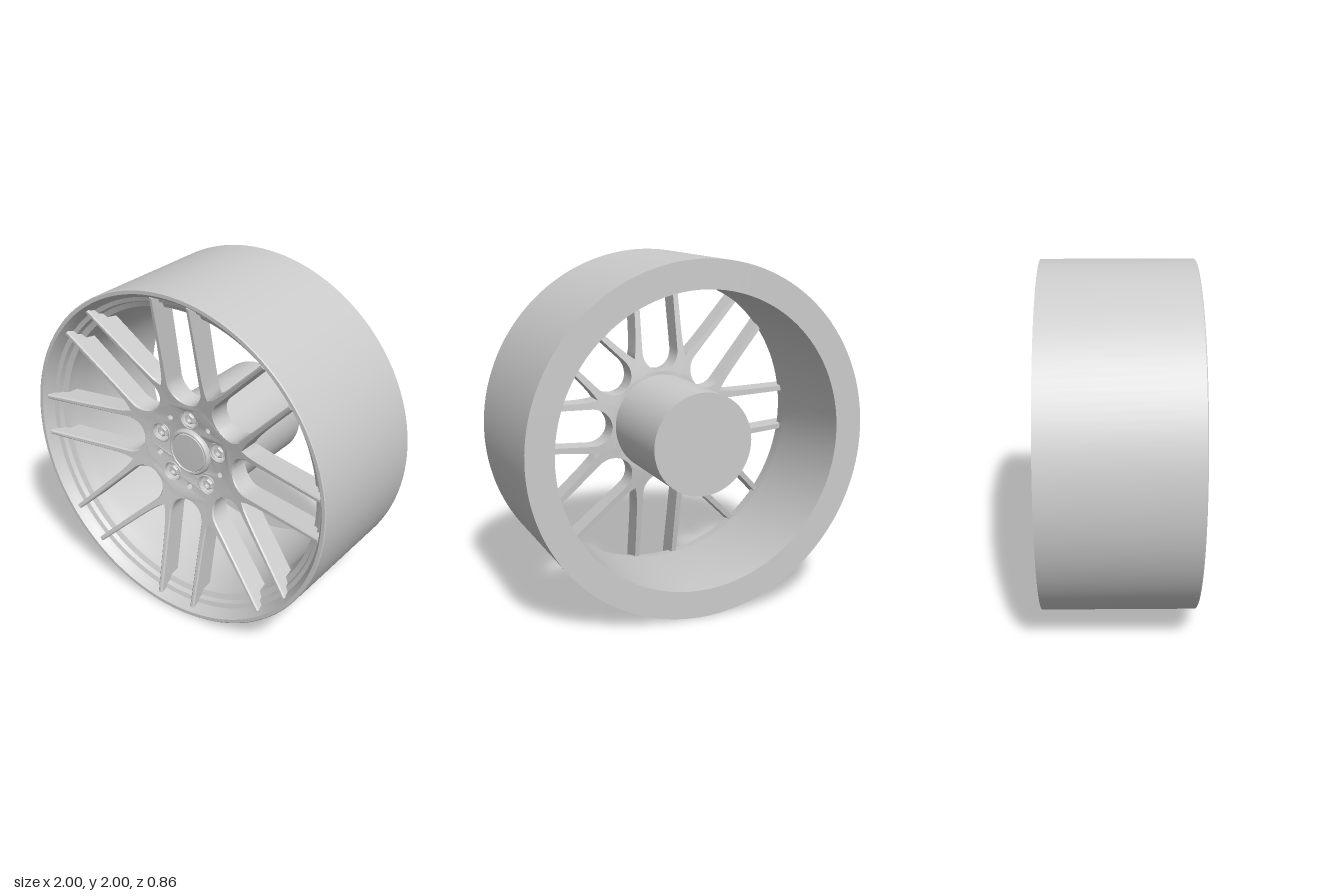
import * as THREE from 'three';
import { toCreasedNormals } from 'three/addons/utils/BufferGeometryUtils.js';

const mat = new THREE.MeshStandardMaterial({ color: 0xcccccc });
const V = (x, y) => new THREE.Vector2(x, y);
const lerp = THREE.MathUtils.lerp;

// Depth of the dished front face and of the back face at a given radius
const frontZ = r => 0.24 + 0.17 * Math.max(0, (r - 0.13) / 0.82);
const backZ = r => 0.15 + 0.12 * Math.max(0, (r - 0.3) / 0.65);

function add(parent, geo, name) {
  const mesh = new THREE.Mesh(geo, mat);
  mesh.name = name;
  parent.add(mesh);
  return mesh;
}

// Turned part about the z axis; profile is a list of [radius, z]
function turned(profile, segments) {
  const geo = new THREE.LatheGeometry(profile.map(p => V(p[0], p[1])), segments);
  geo.rotateX(Math.PI / 2);
  return toCreasedNormals(geo, 0.5);
}

// Half of one window surround: hub web flowing into a single thin spoke
function spokeGeometry(side) {
  const stations = [];
  const ray = Math.PI / 8;
  const webSteps = 10, spokeSteps = 14;
  for (let i = 0; i <= webSteps; i++) {
    const t = i / webSteps, a = t * Math.PI / 2;
    const r = lerp(0.295, 0.42, t);
    stations.push({
      a: V(0.111 * Math.sin(a), 0.425 - 0.115 * Math.cos(a)),
      b: V(r * Math.sin(ray), r * Math.cos(ray)),
      bevelA: 0.008, bevelB: 0
    });
  }
  for (let i = 1; i <= spokeSteps; i++) {
    const t = i / spokeSteps;
    stations.push({
      a: V(lerp(0.111, 0.106, t), lerp(0.425, 0.945, t)),
      b: V(0.135 + 0.012 * (1 - t) + 0.0138 * Math.pow(1 - t, 8), lerp(0.388, 0.945, t)),
      bevelA: 0.008, bevelB: 0.008
    });
  }
  const pos = [], index = [], n = 6;
  for (const { a, b, bevelA, bevelB } of stations) {
    const dir = b.clone().sub(a).normalize();
    const a2 = a.clone().addScaledVector(dir, bevelA);
    const b2 = b.clone().addScaledVector(dir, -bevelB);
    const put = (p, z) => pos.push(side * p.x, p.y, z);
    put(a, frontZ(a.length()) - bevelA);
    put(a2, frontZ(a2.length()));
    put(b2, frontZ(b2.length()));
    put(b, frontZ(b.length()) - bevelB);
    put(b, backZ(b.length()));
    put(a, backZ(a.length()));
  }
  const tri = (p, q, r) => side > 0 ? index.push(p, q, r) : index.push(p, r, q);
  for (let i = 0; i < stations.length - 1; i++) {
    for (let j = 0; j < n; j++) {
      const p = i * n + j, q = i * n + (j + 1) % n;
      tri(p, q, q + n);
      tri(p, q + n, p + n);
    }
  }
  const end = (stations.length - 1) * n;
  for (let j = 1; j < n - 1; j++) tri(end, end + j, end + j + 1);
  const geo = new THREE.BufferGeometry();
  geo.setAttribute('position', new THREE.Float32BufferAttribute(pos, 3));
  geo.setIndex(index);
  return toCreasedNormals(geo, 0.6);
}

// Hub plate with five bolt holes and five small holes, dished to match the spokes
function hubGeometry() {
  const shape = new THREE.Shape().absarc(0, 0, 0.308, 0, Math.PI * 2);
  const hole = (r, angle, size) => shape.holes.push(
    new THREE.Path().absarc(r * Math.cos(angle), r * Math.sin(angle), size, 0, Math.PI * 2, true));
  hole(0, 0, 0.12);
  for (let i = 0; i < 5; i++) {
    const angle = Math.PI / 2 + i * Math.PI * 0.4;
    hole(0.21, angle, 0.055);
    hole(0.225, angle + Math.PI / 5, 0.018);
  }
  const geo = new THREE.ExtrudeGeometry(shape, { depth: 1, bevelEnabled: false, curveSegments: 32 });
  const p = geo.attributes.position;
  for (let i = 0; i < p.count; i++) {
    const r = Math.hypot(p.getX(i), p.getY(i));
    p.setZ(i, p.getZ(i) > 0.5 ? frontZ(r) : backZ(r));
  }
  return toCreasedNormals(geo, 0.5);
}

export function createModel() {
  const model = new THREE.Group();
  const wheel = new THREE.Group();
  wheel.name = 'wheel';
  wheel.position.y = 1;
  model.add(wheel);

  // Rim: outer wall, sloping front lip, stepped seat, long barrel, flat back
  add(wheel, turned([
    [0.84, -0.43], [1, -0.43], [1, 0.425], [0.995, 0.43], [0.975, 0.43],
    [0.95, 0.395], [0.94, 0.365], [0.915, 0.355], [0.905, 0.33],
    [0.875, 0.315], [0.865, 0.26], [0.85, 0.2], [0.84, -0.43]
  ], 128), 'rim');

  // Eight spoke pairs
  const spokes = new THREE.Group();
  spokes.name = 'spokes';
  wheel.add(spokes);
  for (const side of [1, -1]) {
    const geo = spokeGeometry(side);
    for (let i = 0; i < 8; i++) add(spokes, geo, 'spoke').rotation.z = i * Math.PI / 4;
  }

  // Hub plate, axle drum behind it and centre cap
  add(wheel, hubGeometry(), 'hubPlate');
  add(wheel, turned([[0, -0.43], [0.29, -0.43], [0.29, 0.2], [0, 0.2]], 64), 'axleDrum');
  add(wheel, turned([
    [0.142, 0.23], [0.138, 0.262], [0.13, 0.272], [0.12, 0.272],
    [0.116, 0.264], [0.112, 0.27], [0, 0.272]
  ], 64), 'centreCap');

  // Bolts: raised collar round each hole and a hollow hex head inside
  const collar = new THREE.TorusGeometry(0.057, 0.005, 8, 32);
  const seat = turned([[0.056, 0.195], [0.056, 0.235], [0.042, 0.222], [0, 0.222]], 32);
  const head = turned([
    [0.034, 0.2], [0.034, 0.252], [0.029, 0.258], [0.021, 0.258], [0.019, 0.235], [0, 0.235]
  ], 6);
  for (let i = 0; i < 5; i++) {
    const angle = Math.PI / 2 + i * Math.PI * 0.4;
    const bolt = new THREE.Group();
    bolt.name = 'bolt';
    bolt.position.set(0.21 * Math.cos(angle), 0.21 * Math.sin(angle), 0);
    add(bolt, collar, 'boltCollar').position.z = frontZ(0.21);
    add(bolt, seat, 'boltSeat');
    add(bolt, head, 'boltHead');
    wheel.add(bolt);
  }
  return model;
}
